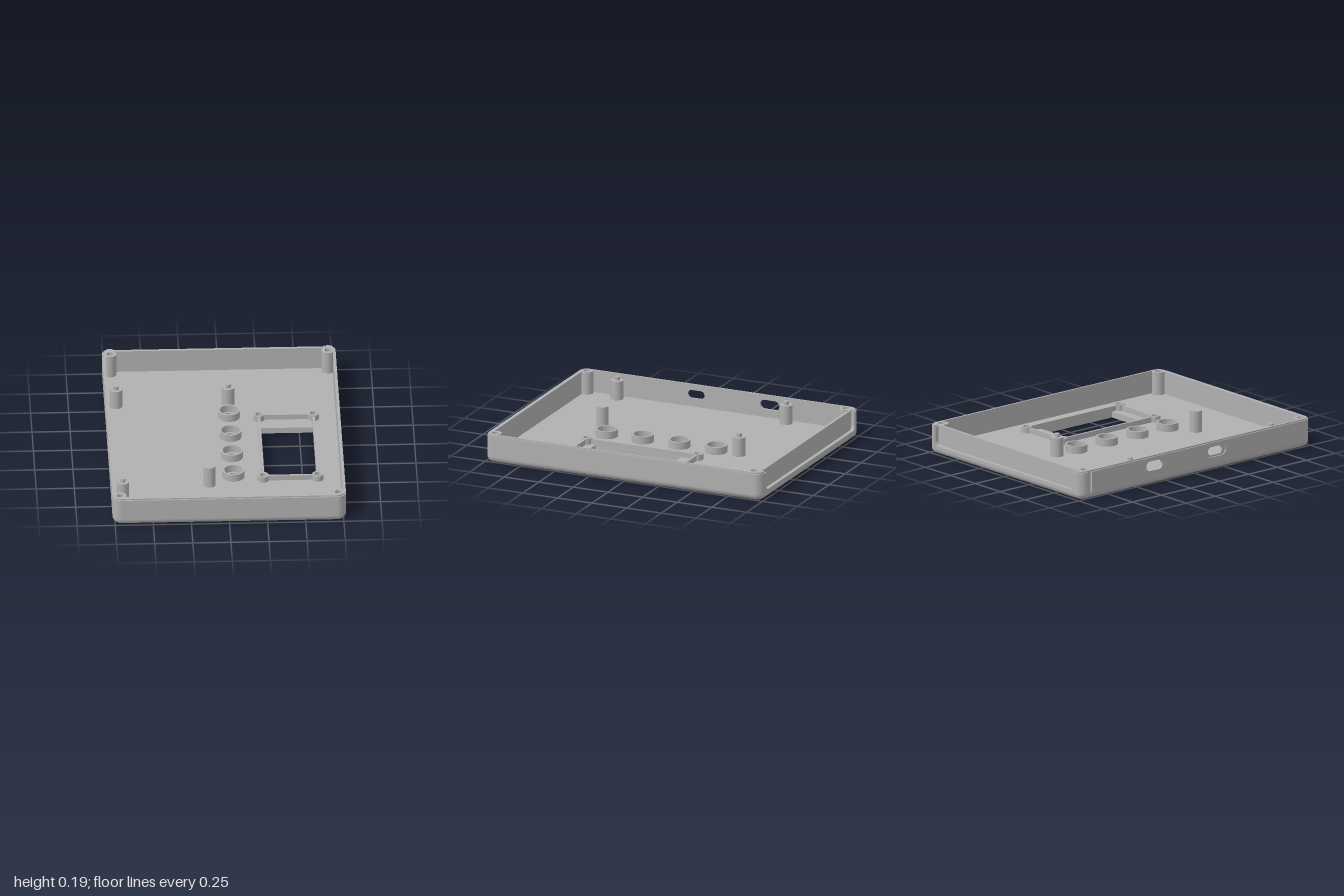
import * as THREE from 'three';

const W = 0.766, L = 1, R = 0.06;          // half width, half length, plan corner radius
const FLOOR = 0.04, RIM = 0.184, TOP = 0.193;
const IX = 0.746, IB = -0.955, IF = 0.966; // inner wall faces: sides, back, front

export function createModel() {
  const group = new THREE.Group();
  const grey = new THREE.MeshStandardMaterial({ color: 0xb0b0b0 });
  grey.name = 'grey plastic';

  const add = (name, geometry) => {
    const mesh = new THREE.Mesh(geometry, grey);
    mesh.name = name;
    group.add(mesh);
    return mesh;
  };
  // Plan shape (x, z) raised from y0 to y1
  const slab = (name, shape, y0, y1) => {
    const g = new THREE.ExtrudeGeometry(shape, { depth: y1 - y0, bevelEnabled: false, curveSegments: 16 });
    return add(name, g.rotateX(Math.PI / 2).translate(0, y1, 0));
  };
  const box = (name, x0, x1, y0, y1, z0, z1) =>
    add(name, new THREE.BoxGeometry(x1 - x0, y1 - y0, z1 - z0)
      .translate((x0 + x1) / 2, (y0 + y1) / 2, (z0 + z1) / 2));
  // Rounded rectangle as a Shape or Path
  const rounded = (x0, y0, x1, y1, r, Type = THREE.Shape) => {
    const s = new Type();
    s.moveTo(x0 + r, y0);
    s.absarc(x1 - r, y0 + r, r, -Math.PI / 2, 0);
    s.absarc(x1 - r, y1 - r, r, 0, Math.PI / 2);
    s.absarc(x0 + r, y1 - r, r, Math.PI / 2, Math.PI);
    s.absarc(x0 + r, y0 + r, r, Math.PI, Math.PI * 1.5);
    s.closePath();
    return s;
  };
  const circle = (x, z, r, Type = THREE.Path) => {
    const c = new Type();
    c.absarc(x, z, r, 0, Math.PI * 2);
    return c;
  };
  const tube = (name, x, z, r, bore, y0, y1) => {
    const s = circle(x, z, r, THREE.Shape);
    if (bore) s.holes.push(circle(x, z, bore));
    return slab(name, s, y0, y1);
  };

  // Openings through the floor
  const buttonX = 0.045, buttonZ = [-0.34, -0.075, 0.19, 0.45];
  const cutFloor = (shape) => {
    shape.holes.push(rounded(0.249, -0.177, 0.59, 0.437, 0.001, THREE.Path));
    buttonZ.forEach((z) => shape.holes.push(circle(buttonX, z, 0.045)));
    return shape;
  };
  slab('floor', cutFloor(rounded(-W + 0.02, -L + 0.02, W - 0.02, L - 0.02, 0.04)), 0.006, FLOOR);

  // Outer skin below the floor, with a panel groove and shallow grille slots
  const skin = rounded(-W + 0.04, -L + 0.04, W - 0.04, L - 0.04, 0.02);
  skin.holes.push(rounded(-0.276, -0.426, 0.696, 0.726, 0.05, THREE.Path));
  for (let i = 0; i < 15; i++) {
    const x = 0.19 + i * 0.032;
    skin.holes.push(rounded(x, -0.9, x + 0.014, -0.77, 0.003, THREE.Path));
  }
  slab('undersideSkin', skin, 0, 0.006);
  slab('undersidePanel', cutFloor(rounded(-0.268, -0.418, 0.688, 0.718, 0.042)), 0, 0.006);

  // Rounded lower edge, lofted between rounded rectangles
  const pos = [], idx = [], steps = 8, arc = 8, n = 4 * (arc + 1);
  for (let k = 0; k <= steps; k++) {
    const a = (k / steps) * Math.PI / 2;
    const y = 0.04 * (1 - Math.cos(a)), r = R - 0.04 * (1 - Math.sin(a));
    for (let c = 0; c < 4; c++) for (let j = 0; j <= arc; j++) {
      const t = (c + j / arc) * Math.PI / 2;
      const sx = c === 0 || c === 3 ? 1 : -1, sz = c < 2 ? 1 : -1;
      pos.push(sx * (W - R) + r * Math.cos(t), y, sz * (L - R) + r * Math.sin(t));
    }
  }
  for (let k = 0; k < steps; k++) for (let i = 0; i < n; i++) {
    const a = k * n + i, b = k * n + (i + 1) % n;
    idx.push(a, a + n, b, b, a + n, b + n);
  }
  const edge = new THREE.BufferGeometry();
  edge.setAttribute('position', new THREE.Float32BufferAttribute(pos, 3));
  edge.setIndex(idx);
  edge.computeVertexNormals();
  add('roundedLowerEdge', edge);

  // Walls, then a slightly narrower lip on top
  const walls = (name, d, y0, y1) => {
    const w = W - d, l = L - d, r = R - d, H = Math.PI / 2;
    const main = new THREE.Shape();
    main.moveTo(0.7, -l);
    main.absarc(w - r, -l + r, r, -H, 0);
    main.absarc(w - r, l - r, r, 0, H);
    main.absarc(-w + r, l - r, r, H, 2 * H);
    [[-w, 0.9], [-IX, 0.9], [-IX, IF], [IX, IF], [IX, IB], [0.7, IB]].forEach((p) => main.lineTo(...p));
    main.closePath();
    slab(name + 'Main', main, y0, y1);
    const corner = new THREE.Shape();
    corner.moveTo(-w, -0.9);
    corner.absarc(-w + r, -l + r, r, 2 * H, 3 * H);
    [[-0.7, -l], [-0.7, IB], [-IX, IB], [-IX, -0.9]].forEach((p) => corner.lineTo(...p));
    corner.closePath();
    slab(name + 'BackCorner', corner, y0, y1);
  };
  walls('wall', 0, FLOOR, RIM);
  walls('lip', 0.008, RIM, TOP);
  box('sideLip', -W + 0.008, -IX, RIM, TOP, -0.9, 0.9);

  // Side wall with two port slots, the larger one countersunk outside
  const portWall = (name, xInner, depth, slots) => {
    const s = rounded(-0.9, FLOOR, 0.9, RIM, 0.0005);
    slots.forEach(([z, y, w, h]) =>
      s.holes.push(rounded(z - w / 2, y - h / 2, z + w / 2, y + h / 2, h * 0.49, THREE.Path)));
    const g = new THREE.ExtrudeGeometry(s, { depth, bevelEnabled: false });
    add(name, g.rotateY(-Math.PI / 2).translate(xInner, 0, 0));
  };
  const smallPort = [-0.36, 0.125, 0.14, 0.065];
  portWall('portWallInner', -IX, 0.012, [smallPort, [0.17, 0.125, 0.12, 0.055]]);
  portWall('portWallOuter', -IX - 0.012, 0.008, [smallPort, [0.17, 0.13, 0.18, 0.09]]);

  // Back wall with a wide recess open at the top
  box('recessWall', -0.7, 0.7, FLOOR, TOP, -0.975, IB);
  const back = new THREE.Shape();
  back.moveTo(-0.7, FLOOR);
  [[0.7, FLOOR], [0.7, RIM], [0.69, RIM], [0.69, 0.095]].forEach((p) => back.lineTo(...p));
  back.quadraticCurveTo(0.69, 0.06, 0.655, 0.06);
  back.lineTo(-0.655, 0.06);
  back.quadraticCurveTo(-0.69, 0.06, -0.69, 0.095);
  back.lineTo(-0.69, RIM);
  back.lineTo(-0.7, RIM);
  back.closePath();
  add('recessSurround', new THREE.ExtrudeGeometry(back, { depth: 0.025, bevelEnabled: false }).translate(0, 0, -L));

  // Corner screw bosses
  for (const x of [-0.715, 0.715]) for (const z of [-0.925, 0.945])
    tube('cornerBoss', x, z, 0.043, 0.022, FLOOR, TOP);

  // Board posts with locating pins, and one plain post
  for (const [x, z] of [[-0.69, -0.505], [0.045, -0.505], [-0.69, 0.715]]) {
    tube('boardPost', x, z, 0.042, 0, FLOOR, 0.168);
    tube('boardPin', x, z, 0.018, 0, 0.168, 0.192);
  }
  tube('plainPost', -0.115, 0.555, 0.04, 0, FLOOR, 0.185);

  // Button collars
  buttonZ.forEach((z) => tube('buttonCollar', buttonX, z, 0.073, 0.06, FLOOR, 0.09));

  // Display frame rails and screw bosses
  const fx = [0.238, 0.597], fz = [-0.295, 0.506], t = 0.008;
  for (const x of fx) box('displayRail', x - t, x + t, FLOOR, 0.075, fz[0] + 0.03, fz[1] - 0.03);
  for (const z of fz) box('displayRail', fx[0] + 0.03, fx[1] - 0.03, FLOOR, 0.075, z - t, z + t);
  for (const x of fx) for (const z of fz) tube('displayBoss', x, z, 0.037, 0.022, FLOOR, 0.08);

  return group;
}
